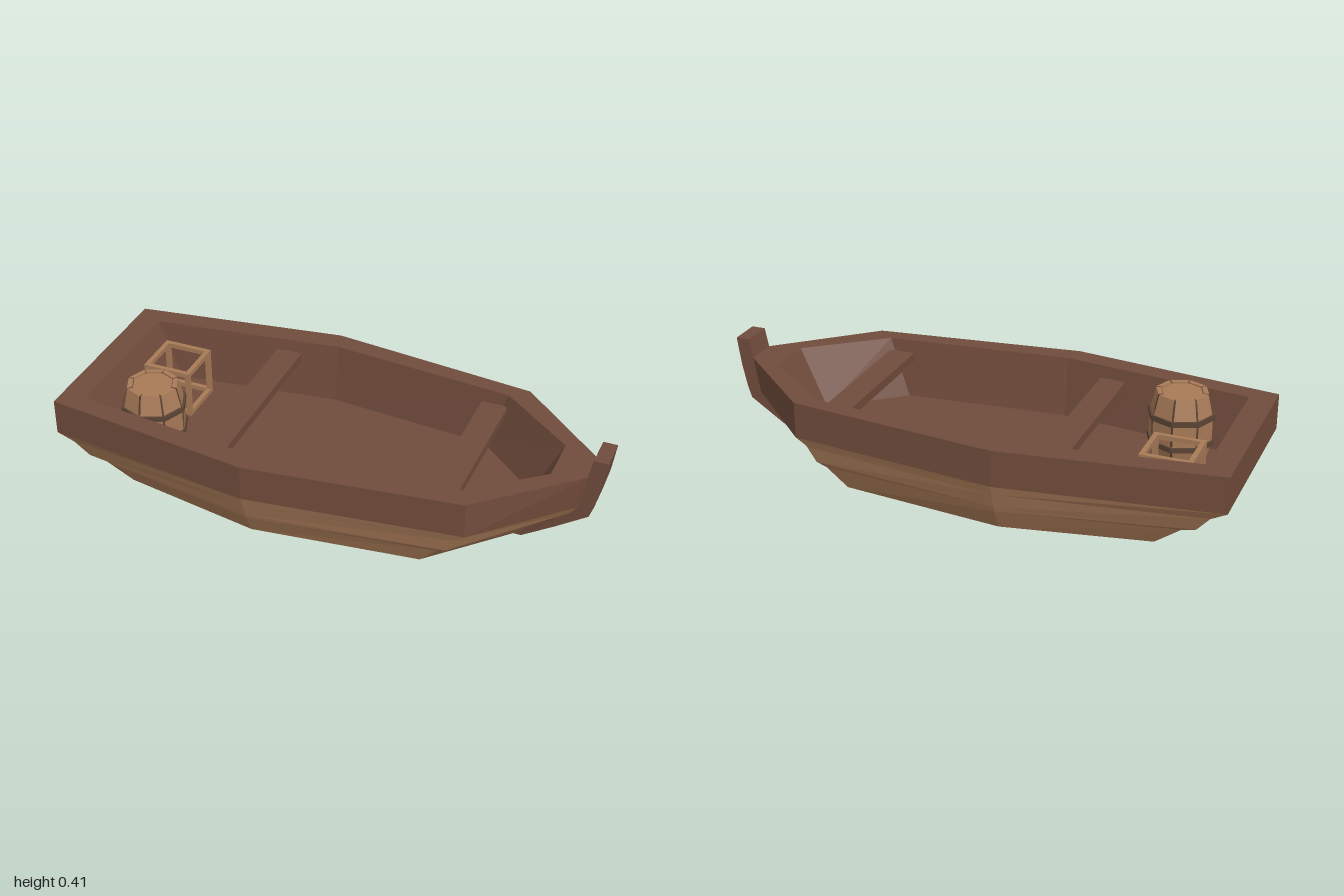
import * as THREE from 'three';

const mat = (name, color) => {
  const m = new THREE.MeshStandardMaterial({ color, flatShading: true });
  m.name = name;
  return m;
};

// Outline loop at one height from half-outline pairs (x, z), stern to bow, mirrored across z
const ring = (y, half) => [
  ...half.map(([x, z]) => [x, y, z]),
  ...half.slice().reverse().map(([x, z]) => [x, y, -z]),
];

// Skin a list of rings; optional flat caps on the first and last ring
function loft(rings, capFirst = false, capLast = false) {
  const pos = [];
  const tri = (a, b, c) => pos.push(...a, ...b, ...c);
  for (let r = 0; r < rings.length - 1; r++) {
    const lo = rings[r], hi = rings[r + 1], n = lo.length;
    for (let i = 0; i < n; i++) {
      const j = (i + 1) % n;
      tri(lo[i], lo[j], hi[j]);
      tri(lo[i], hi[j], hi[i]);
    }
  }
  const first = rings[0], last = rings[rings.length - 1];
  for (let i = 1; i < first.length - 1; i++) {
    if (capFirst) tri(first[0], first[i + 1], first[i]);
    if (capLast) tri(last[0], last[i], last[i + 1]);
  }
  const g = new THREE.BufferGeometry();
  g.setAttribute('position', new THREE.Float32BufferAttribute(pos, 3));
  g.computeVertexNormals();
  return g;
}

export function createModel() {
  const brown = mat('dark wood', 0x714c3c);
  const tan = mat('light wood', 0xa87a57);
  const hoopMat = mat('hoop', 0x5c4433);
  const boat = new THREE.Group();
  boat.name = 'rowingBoat';
  const add = (parent, name, geo, material, x = 0, y = 0, z = 0) => {
    const m = new THREE.Mesh(geo, material);
    m.name = name;
    m.position.set(x, y, z);
    parent.add(m);
    return m;
  };

  // Lower hull planking
  const strakeBase = ring(0.195, [[-1, 0.355], [-0.2, 0.465], [0.595, 0.37], [0.91, 0.06]]);
  add(boat, 'lowerHull', loft([
    ring(0, [[-0.735, 0.285], [-0.2, 0.385], [0.42, 0.315], [0.68, 0.05]]),
    ring(0.08, [[-0.835, 0.31], [-0.2, 0.425], [0.49, 0.34], [0.77, 0.055]]),
    ring(0.1, [[-0.89, 0.325], [-0.2, 0.433], [0.525, 0.35], [0.8, 0.055]]),
    ring(0.16, [[-0.94, 0.343], [-0.2, 0.453], [0.55, 0.362], [0.88, 0.06]]),
    strakeBase,
  ], true), tan);

  // Upper side, gunwale, inner walls and floor
  add(boat, 'upperHull', loft([
    strakeBase,
    ring(0.332, [[-1, 0.355], [-0.2, 0.465], [0.595, 0.37], [0.935, 0.06]]),
    ring(0.332, [[-0.905, 0.29], [-0.18, 0.385], [0.53, 0.315], [0.81, 0.09]]),
    ring(0.105, [[-0.81, 0.278], [-0.18, 0.355], [0.45, 0.3], [0.7, 0.08]]),
  ], false, true), brown);

  // Bow stem, slightly narrower towards the keel
  const stemShape = new THREE.Shape([
    [0.66, 0], [0.71, 0], [0.83, 0.08], [0.95, 0.165], [0.965, 0.21], [0.985, 0.3], [1, 0.405],
    [0.947, 0.405], [0.93, 0.32], [0.905, 0.195], [0.8, 0.1],
  ].map(([x, y]) => new THREE.Vector2(x, y)));
  const stem = new THREE.ExtrudeGeometry(stemShape, { depth: 0.122, bevelEnabled: false });
  stem.translate(0, 0, -0.061);
  const p = stem.attributes.position;
  for (let i = 0; i < p.count; i++) {
    p.setZ(i, p.getZ(i) * Math.min(1, 0.8 + p.getY(i) * 1.25));
  }
  stem.computeVertexNormals();
  add(boat, 'bowStem', stem, brown);

  // Bench seats
  for (const [x, width] of [[-0.37, 0.71], [0.48, 0.62]]) {
    add(boat, 'benchSeat', new THREE.BoxGeometry(0.1, 0.035, width), brown, x, 0.268, 0);
  }

  // Barrel: eight staves over a dark core, with two hoops
  const barrel = new THREE.Group();
  barrel.name = 'barrel';
  barrel.position.set(-0.69, 0.105, 0.165);
  boat.add(barrel);
  const v = (x, y) => new THREE.Vector2(x, y);
  const gap = 0.07;
  for (let i = 0; i < 8; i++) {
    const stave = new THREE.LatheGeometry(
      [v(0.08, 0), v(0.095, 0), v(0.118, 0.09), v(0.118, 0.18), v(0.097, 0.27), v(0.078, 0.27), v(0.078, 0.255)],
      1, i * Math.PI / 4 + gap / 2, Math.PI / 4 - gap);
    add(barrel, 'barrelStave', stave, tan);
  }
  add(barrel, 'barrelCore', new THREE.LatheGeometry(
    [v(0, 0.002), v(0.088, 0.002), v(0.111, 0.09), v(0.111, 0.18), v(0.09, 0.262), v(0, 0.262)], 8), hoopMat);
  add(barrel, 'barrelLid', new THREE.CylinderGeometry(0.076, 0.076, 0.006, 8), tan, 0, 0.263, 0);
  for (const y of [0.085, 0.185]) {
    add(barrel, 'barrelHoop', new THREE.CylinderGeometry(0.125, 0.125, 0.02, 8), hoopMat, 0, y, 0);
  }

  // Open crate made of twelve bars
  const crate = new THREE.Group();
  crate.name = 'crate';
  crate.position.set(-0.745, 0.2, -0.135);
  boat.add(crate);
  const size = 0.19, t = 0.018, o = (size - t) / 2;
  for (const a of [-o, o]) {
    for (const b of [-o, o]) {
      add(crate, 'crateBar', new THREE.BoxGeometry(size, t, t), tan, 0, a, b);
      add(crate, 'crateBar', new THREE.BoxGeometry(t, size - 2 * t, t), tan, a, 0, b);
      add(crate, 'crateBar', new THREE.BoxGeometry(t, t, size - 2 * t), tan, a, b, 0);
    }
  }
  return boat;
}
